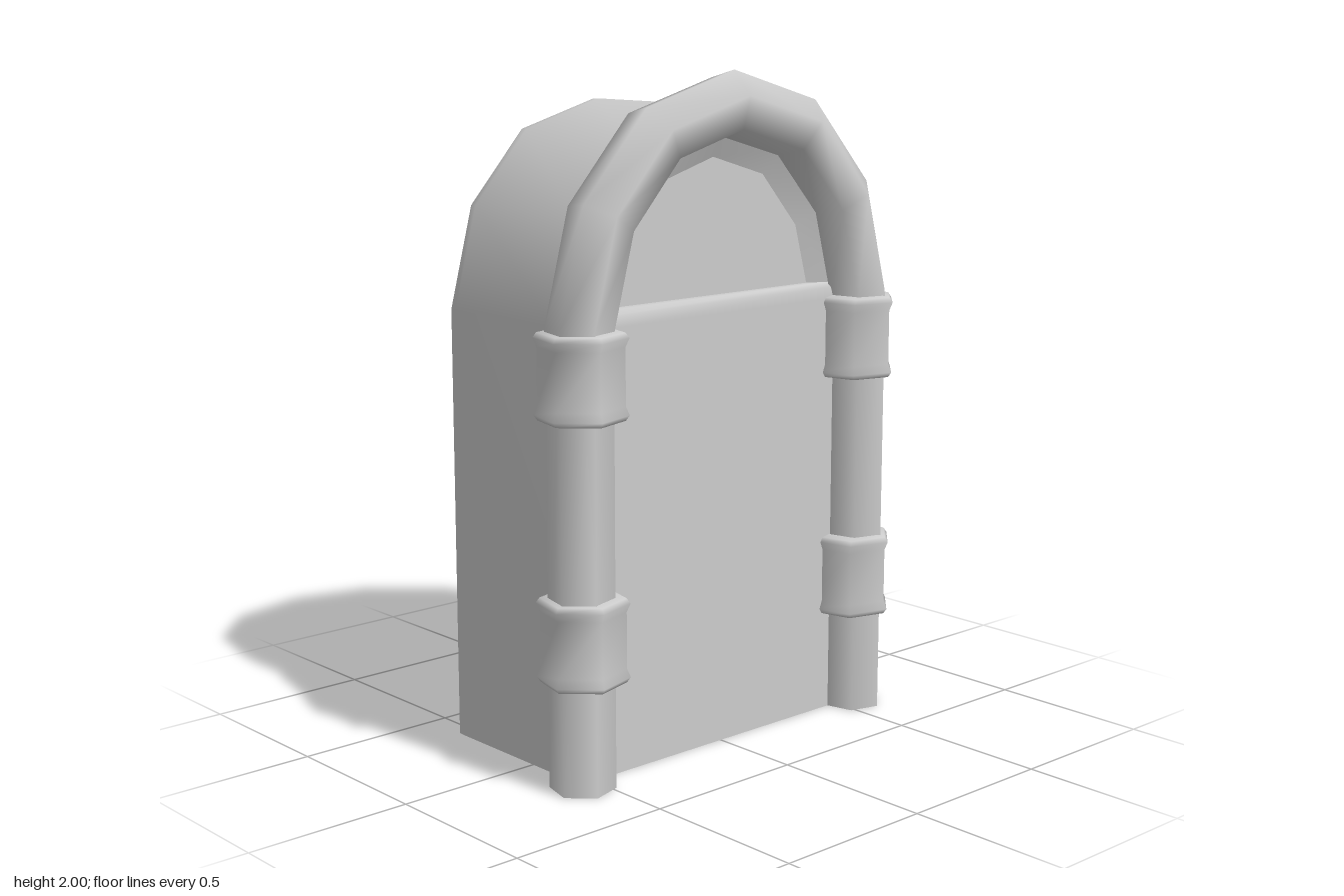
import * as THREE from 'three';

const material = new THREE.MeshStandardMaterial({ color: 0xcccccc, side: THREE.DoubleSide });

const SIDE = 0.555;      // half width of the arch centre line
const FRAME_Z = 0.235;   // depth of the frame's centre
const BACK_Z = -0.365;
const PANEL_Z = 0.218;
const RECESS_Z = 0.175;

// Mirrors the left half of an arch, which ends at its apex
const mirrored = half => [...half, ...half.slice(0, -1).reverse().map(([x, y]) => [-x, y])];

const archPath = mirrored([[-SIDE, 0], [-SIDE, 1.31], [-0.475, 1.61], [-0.28, 1.825], [0, 1.905]]);

const pathAt = (path, z) => path.map(([x, y]) => [x, y, z]);

// Smooth surface through equal-length rows of points
function loft(rows) {
  const n = rows[0].length, index = [];
  for (let i = 0; i < rows.length - 1; i++) {
    for (let j = 0; j < n - 1; j++) {
      const a = i * n + j, b = a + 1, c = b + n, d = a + n;
      index.push(a, b, c, a, c, d);
    }
  }
  const geometry = new THREE.BufferGeometry();
  geometry.setAttribute('position', new THREE.Float32BufferAttribute(rows.flat(2), 3));
  geometry.setIndex(index);
  geometry.computeVertexNormals();
  return geometry;
}

// Hexagonal pipe along a path in the xy plane, with mitred joints
function pipe(path, radii, z) {
  const points = path.map(([x, y]) => new THREE.Vector2(x, y));
  const leftOf = (p, q) => { const t = q.clone().sub(p).normalize(); return new THREE.Vector2(-t.y, t.x); };
  const rows = points.map((p, i) => {
    const before = i > 0 ? leftOf(points[i - 1], p) : leftOf(p, points[1]);
    const after = i < points.length - 1 ? leftOf(p, points[i + 1]) : before;
    const normal = before.clone().add(after).normalize();
    const mitre = 1 / normal.dot(before);
    return Array.from({ length: 7 }, (_, k) => {
      const angle = THREE.MathUtils.degToRad(44 - (k % 6) * 60);
      const out = -Math.cos(angle) * radii[i] * mitre;
      return [p.x + normal.x * out, p.y + normal.y * out, z + Math.sin(angle) * radii[i]];
    });
  });
  const geometry = loft(rows);
  // Blend the normals across the seam of each ring
  const normals = geometry.attributes.normal;
  const u = new THREE.Vector3(), v = new THREE.Vector3();
  for (let i = 0; i < rows.length; i++) {
    u.fromBufferAttribute(normals, i * 7);
    v.fromBufferAttribute(normals, i * 7 + 6);
    u.add(v).normalize();
    normals.setXYZ(i * 7, u.x, u.y, u.z);
    normals.setXYZ(i * 7 + 6, u.x, u.y, u.z);
  }
  return geometry;
}

export function createModel() {
  const group = new THREE.Group();
  const add = (name, geometry) => {
    const mesh = new THREE.Mesh(geometry, material);
    mesh.name = name;
    group.add(mesh);
    return mesh;
  };

  // Vaulted shell, open underneath: flared into the frame, softly edged at the
  // back, and closed by a back wall that runs in to the middle line
  const shellRow = (scale, z, width = 1) =>
    archPath.map(([x, y]) => [x * scale * width, y * (1 + (scale - 1) * 0.3), z]);
  add('shell', loft([
    shellRow(1.06, 0.165), shellRow(1, 0.14), shellRow(0.988, 0.115),
    shellRow(0.988, BACK_Z + 0.03), shellRow(0.985, BACK_Z + 0.006),
    shellRow(0.975, BACK_Z), shellRow(0.93, BACK_Z, 0.97), shellRow(0.93, BACK_Z, 0),
  ]));

  // Arched pipe frame around the front
  add('archFrame', pipe(archPath, archPath.map(() => 0.095), FRAME_Z));

  // Flared bands clasping both posts
  const bandProfile = [[0, 0.09], [0.005, 0.122], [0.02, 0.133], [0.045, 0.122],
    [0.21, 0.122], [0.235, 0.133], [0.25, 0.122], [0.255, 0.09]];
  const radii = bandProfile.map(([, r]) => r);
  for (const y of [0.305, 1.055]) {
    const left = bandProfile.map(([h]) => [-0.545, y + h]);
    const right = left.map(([x, h]) => [-x, h]).reverse();
    add('rightPostBand', pipe(left, radii, 0.23));
    add('leftPostBand', pipe(right, radii, 0.23));
  }

  // Lower door panel, rolled over at the top into a shallow ledge
  const panelProfile = [[0, PANEL_Z], [1.3, PANEL_Z], [1.335, PANEL_Z - 0.002],
    [1.35, PANEL_Z - 0.015], [1.35, RECESS_Z]];
  add('doorPanel', loft(panelProfile.map(([y, z]) => [[-0.475, y, z], [0.475, y, z]])));

  // Recessed arched window with a sloping surround
  const recess = mirrored([[-0.39, 1.35], [-0.34, 1.53], [-0.2, 1.69], [0, 1.75]]);
  const opening = mirrored([[-0.475, 1.35], [-0.415, 1.58], [-0.25, 1.765], [0, 1.835]]);
  add('windowSurround', loft([pathAt(recess, RECESS_Z), pathAt(opening, PANEL_Z)]));
  const outline = recess.map(([x, y]) => new THREE.Vector2(x, y));
  add('windowRecess', new THREE.ShapeGeometry(new THREE.Shape(outline))).position.z = RECESS_Z;

  return group;
}
